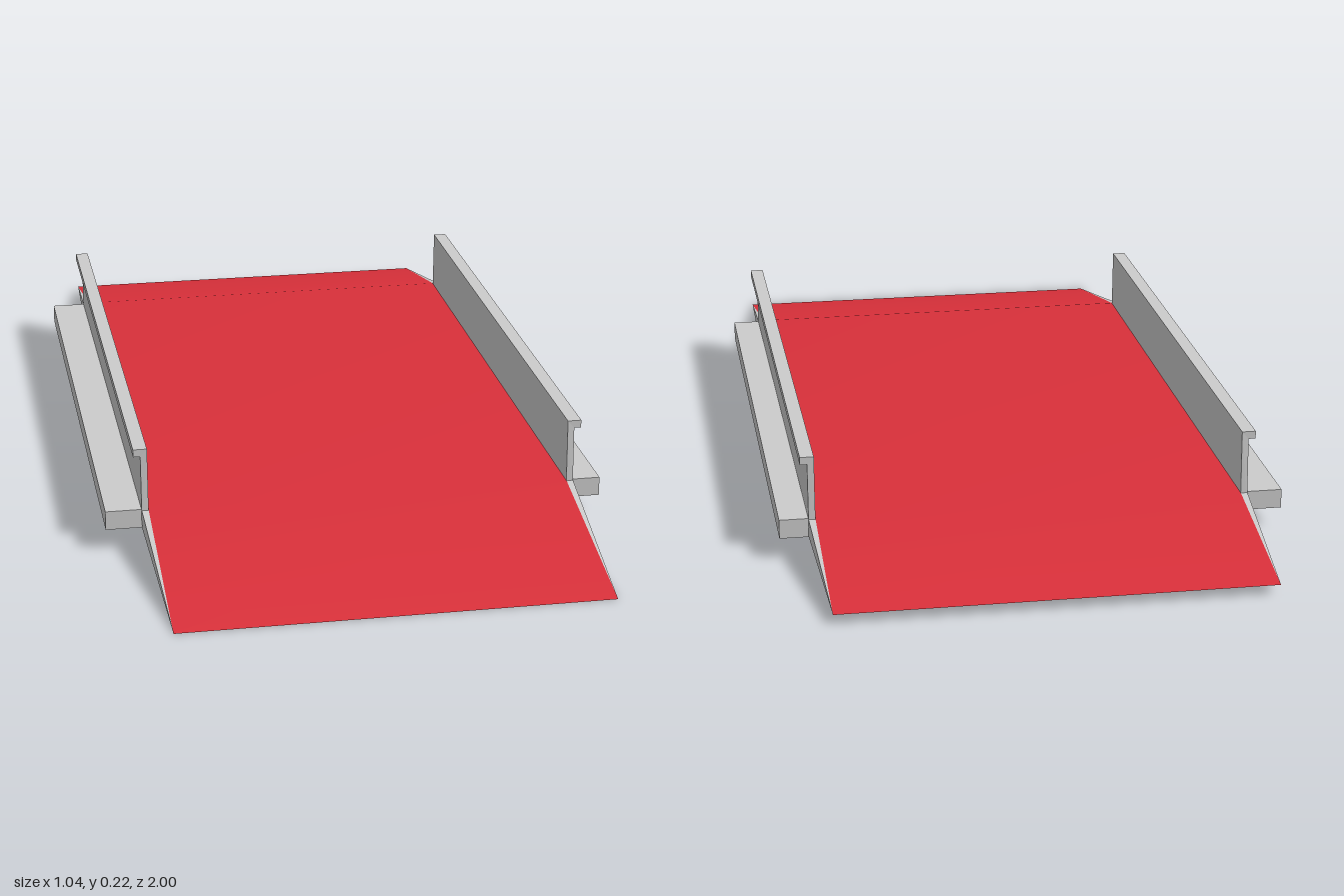
import * as THREE from 'three';

const CX = 0.0055;              // deck centre line
const INNER = 0.4385;           // half width of the deck
const WALL = 0.4525;            // outer face of the kerb wall
const CAP = 0.467;              // outer face of the handrail cap
const TOP = 0.085;              // deck height
const Z_FRONT = 0.6, Z_BACK = -0.675;

const grey = new THREE.MeshStandardMaterial({ color: 0xcccccc, side: THREE.DoubleSide });
const red = new THREE.MeshStandardMaterial({ color: 0xd9303a, side: THREE.DoubleSide });

function add(group, name, geometry, material = grey) {
  const mesh = new THREE.Mesh(geometry, material);
  mesh.name = name;
  group.add(mesh);
}

// Flat-faced surface from polygons (fans of corner points)
function faceted(polygons, flip = false) {
  const pos = [];
  for (const p of polygons) {
    for (let i = 1; i < p.length - 1; i++) {
      const tri = flip ? [p[0], p[i + 1], p[i]] : [p[0], p[i], p[i + 1]];
      tri.forEach((v) => pos.push(...v));
    }
  }
  const g = new THREE.BufferGeometry();
  g.setAttribute('position', new THREE.Float32BufferAttribute(pos, 3));
  g.computeVertexNormals();
  return g;
}

// Walkway surface: one strip swept over the ramp profile, smooth across the bends
function deckGeometry() {
  const profile = [[1, 0], [0.607, TOP], [-0.682, TOP], [-1, 0.02]];
  const pos = [], index = [];
  profile.forEach(([z, y], i) => {
    pos.push(CX - INNER, y, z, CX + INNER, y, z);
    const a = i * 2;
    if (i < profile.length - 1) index.push(a, a + 1, a + 3, a, a + 3, a + 2);
  });
  const g = new THREE.BufferGeometry();
  g.setAttribute('position', new THREE.Float32BufferAttribute(pos, 3));
  g.setIndex(index);
  g.computeVertexNormals();
  return g;
}

// Sloping skirt that closes the side between deck, base and kerb
function skirtGeometry(s) {
  const pt = (x, y, z) => [CX + s * x, y, z];
  const tipF = pt(INNER, 0, 1), tipB = pt(INNER, 0.02, -1);
  const deckF = pt(INNER, TOP, 0.607), deckB = pt(INNER, TOP, -0.682);
  const topF = pt(WALL, TOP, Z_FRONT + 0.005), topB = pt(WALL, TOP, Z_BACK - 0.005);
  const lowF = pt(WALL, 0.045, Z_FRONT), lowB = pt(WALL, 0.045, Z_BACK);
  return faceted([
    [tipF, topF, deckF], [tipF, lowF, topF],
    [tipF, tipB, lowB, lowF],
    [tipB, topB, lowB], [tipB, deckB, topB],
  ], s < 0);
}

// Kerb wall with outward cap, extruded along z, its foot slightly longer
function railGeometry(s) {
  const outline = [[INNER, 0.05], [WALL, 0.05], [WALL, 0.201], [CAP, 0.201], [CAP, 0.217], [INNER, 0.217]];
  const shape = new THREE.Shape(outline.map(([x, y]) => new THREE.Vector2(CX + s * x, y)));
  const g = new THREE.ExtrudeGeometry(shape, { depth: Z_FRONT - Z_BACK, bevelEnabled: false });
  g.translate(0, 0, Z_BACK);
  const p = g.attributes.position;
  for (let i = 0; i < p.count; i++) {
    if (p.getY(i) < 0.1) p.setZ(i, p.getZ(i) + (p.getZ(i) > 0 ? 0.006 : -0.006));
  }
  g.computeVertexNormals();
  return g;
}

// Square ledge along the outside of the kerb
function ledgeGeometry(s) {
  const inner = CX + s * WALL, outer = s > 0 ? 0.517 : -0.521;
  const g = new THREE.BoxGeometry(Math.abs(outer - inner), 0.04, Z_FRONT - Z_BACK);
  g.translate((inner + outer) / 2, 0.065, (Z_FRONT + Z_BACK) / 2);
  return g;
}

export function createModel() {
  const model = new THREE.Group();
  model.name = 'rampBridge';

  add(model, 'deck', deckGeometry(), red);

  // Underside
  const l = CX - INNER, r = CX + INNER;
  add(model, 'base', faceted([[[l, 0, 1], [l, 0.02, -1], [r, 0.02, -1], [r, 0, 1]]]));

  for (const [side, s] of [['left', 1], ['right', -1]]) {
    add(model, side + 'Skirt', skirtGeometry(s));
    add(model, side + 'Rail', railGeometry(s));
    add(model, side + 'Ledge', ledgeGeometry(s));
  }
  return model;
}
